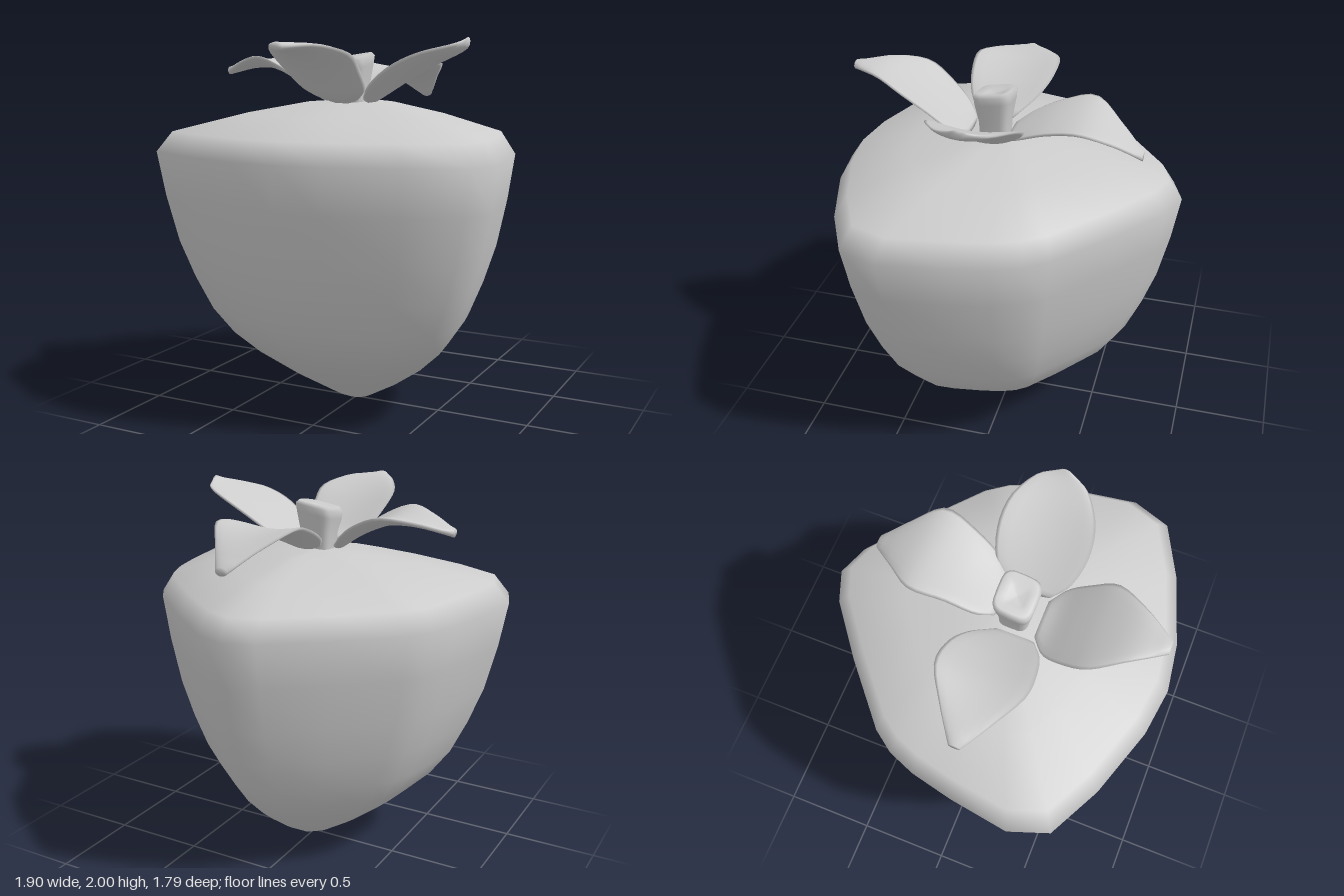
import * as THREE from 'three';

const V = (x, y, z) => new THREE.Vector3(x, y, z);

// Skin a list of closed rings; each ring runs right-handed about the loft axis.
function loft(rings) {
  const n = rings[0].length, index = [];
  for (let i = 0; i < rings.length - 1; i++) {
    for (let j = 0; j < n; j++) {
      const k = (j + 1) % n;
      const a = i * n + j, b = i * n + k, c = a + n, d = b + n;
      index.push(a, b, c, b, d, c);
    }
  }
  const geometry = new THREE.BufferGeometry().setFromPoints(rings.flat());
  geometry.setIndex(index);
  geometry.computeVertexNormals();
  return geometry;
}

// Rounded triangular fruit: one outline scaled by height.
function bodyGeometry() {
  const half = [[0, 0.895], [0.25, 0.86], [0.61, 0.74], [0.88, 0.6], [0.95, 0.4], [0.9, 0.07],
    [0.855, -0.13], [0.8, -0.27], [0.72, -0.38], [0.42, -0.64], [0.16, -0.84], [0, -0.9]];
  const mirrored = half.slice(1, -1).reverse().map(([x, z]) => [-x, z]);
  const outline = [...half, ...mirrored];
  const profile = [[0.001, 0], [0.05, 0.01], [0.11, 0.035], [0.31, 0.15], [0.5, 0.28], [0.635, 0.4],
    [0.74, 0.54], [0.825, 0.72], [0.9, 0.92], [0.96, 1.17], [1, 1.405], [0.92, 1.51],
    [0.57, 1.6], [0.25, 1.66], [0.001, 1.672]];
  return loft(profile.map(([s, y]) => outline.map(([x, z]) => V(x * s, y, z * s))));
}

// Cupped leaf along +x. Stations: [distance, height, sideways centre, half width].
function leafGeometry(stations) {
  const sides = 16, curve = (k) => new THREE.CatmullRomCurve3(
    stations.map((s) => V(s[0], s[1], s[k])), false, 'centripetal');
  const centre = curve(2), width = curve(3), steps = 18, rings = [];
  for (let i = 0; i <= steps; i++) {
    const p = centre.getPoint(i / steps), w = width.getPoint(i / steps).z;
    const ring = (scale) => Array.from({ length: sides }, (_, j) => {
      const a = j / sides * Math.PI * 2, s = Math.sin(a) * scale;
      return V(p.x, p.y + 0.022 * Math.cos(a) * scale + 0.9 * w * w * s * s, p.z + w * s);
    });
    if (i === 0) rings.push(ring(0.001));
    rings.push(ring(1));
    if (i === steps) rings.push(ring(0.001));
  }
  return loft(rings);
}

// Short flared square stalk with a slanted, slightly hollow top.
function stalkGeometry() {
  const levels = [[0.08, 1.64], [0.085, 1.74], [0.105, 1.84], [0.11, 1.88], [0.095, 1.9], [0.05, 1.885], [0.001, 1.88]];
  const sides = 24;
  return loft(levels.map(([r, y]) => Array.from({ length: sides }, (_, j) => {
    const a = j / sides * Math.PI * 2;
    const square = (v) => Math.sign(v) * Math.pow(Math.abs(v), 0.5);
    const x = square(Math.sin(a)) * r, z = square(Math.cos(a)) * r * 0.92;
    const slant = y > 1.8 ? (x - z) * 0.15 : 0;
    return V(0.01 + x, y + slant, 0.075 + z);
  })));
}

export function createModel() {
  const model = new THREE.Group();
  const material = new THREE.MeshStandardMaterial({ color: 0xcccccc });
  const add = (name, geometry, turn = 0) => {
    const mesh = new THREE.Mesh(geometry, material);
    mesh.name = name;
    mesh.rotation.y = turn;
    model.add(mesh);
  };

  add('fruitBody', bodyGeometry());
  add('stalk', stalkGeometry());

  // Four leaves, each turned out from the stalk
  add('leftLeaf', leafGeometry([[0.14, 1.68, 0.09, 0.11], [0.2, 1.73, 0.085, 0.19], [0.33, 1.82, 0.082, 0.235],
    [0.48, 1.86, 0.075, 0.215], [0.62, 1.855, 0.07, 0.12], [0.66, 1.98, 0.07, 0.03]].map(
    ([u, , l, w], i) => [u, [1.68, 1.72, 1.8, 1.88, 1.945, 1.975][i], l, w])));
  add('rightLeaf', leafGeometry([[0.11, 1.69, -0.11, 0.1], [0.2, 1.75, -0.09, 0.18], [0.3, 1.805, -0.075, 0.22],
    [0.44, 1.855, -0.07, 0.225], [0.6, 1.855, -0.07, 0.135], [0.755, 1.82, -0.07, 0.03]]), Math.PI);
  add('frontLeaf', leafGeometry([[0.2, 1.68, -0.02, 0.1], [0.27, 1.71, -0.01, 0.18], [0.38, 1.79, 0, 0.215],
    [0.5, 1.87, 0, 0.225], [0.66, 1.94, 0, 0.14], [0.82, 1.95, 0, 0.035]]), -Math.PI / 2);
  add('backLeaf', leafGeometry([[0.02, 1.69, 0.05, 0.1], [0.1, 1.73, 0.065, 0.165], [0.25, 1.79, 0.085, 0.205],
    [0.42, 1.815, 0.095, 0.23], [0.57, 1.765, 0.105, 0.13], [0.7, 1.685, 0.115, 0.035]]), Math.PI / 2);

  return model;
}
